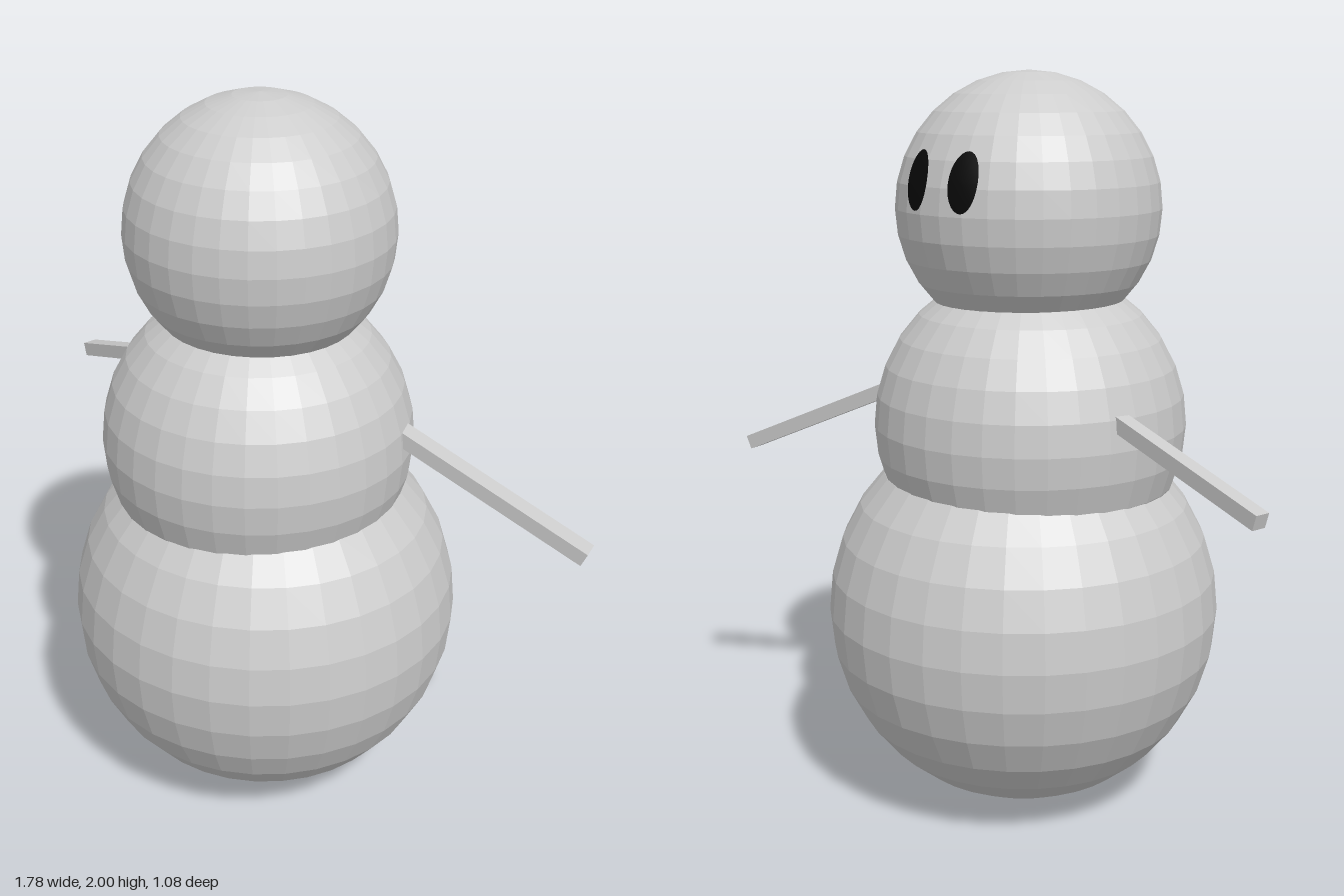
import * as THREE from 'three';

export function createModel() {
  const model = new THREE.Group();
  model.name = 'snowman';

  const snow = new THREE.MeshStandardMaterial({ color: 0xcccccc, flatShading: true });
  snow.name = 'pale grey';
  const black = new THREE.MeshStandardMaterial({ color: 0x080808 });
  black.name = 'black';

  const add = (name, geometry, material) => {
    const mesh = new THREE.Mesh(geometry, material);
    mesh.name = name;
    model.add(mesh);
    return mesh;
  };

  // Three stacked snowballs: name, centre, radius, vertical radius
  const balls = [
    ['lowerBall', [-0.012, 0.548, 0.002], 0.54, 0.545],
    ['middleBall', [-0.026, 1.07, 0.014], 0.423, 0.423],
    ['head', [-0.021, 1.648, 0.012], 0.352, 0.352],
  ];
  for (const [name, centre, r, ry] of balls) {
    const ball = add(name, new THREE.SphereGeometry(1, 32, 16), snow);
    ball.scale.set(r, ry, r);
    ball.position.set(...centre);
  }

  // Stick arms: square bars running from inside the middle ball to the tip
  const arm = (name, from, to, width, height) => {
    const a = new THREE.Vector3(...from), b = new THREE.Vector3(...to);
    const bar = add(name, new THREE.BoxGeometry(width, height, a.distanceTo(b)), snow);
    bar.position.copy(a).add(b).multiplyScalar(0.5);
    bar.lookAt(b);
  };
  arm('leftArm', [0.34, 1.145, -0.1], [0.875, 0.913, -0.197], 0.054, 0.04);
  arm('rightArm', [-0.37, 1.155, -0.095], [-0.883, 1.0, -0.211], 0.042, 0.04);

  // Oval eyes: thin patches that follow the curve of the head, on the -z side
  const [hx, hy, hz] = balls[2][1];
  const eye = (name, cx, cy) => {
    const geometry = new THREE.RingGeometry(0.001, 1, 28, 4);
    const p = geometry.attributes.position;
    const R = 0.356;
    for (let i = 0; i < p.count; i++) {
      const x = cx - p.getX(i) * 0.041;
      const y = cy + p.getY(i) * 0.075;
      p.setXYZ(i, x, y, -Math.sqrt(R * R - x * x - y * y));
    }
    geometry.computeVertexNormals();
    add(name, geometry, black).position.set(hx, hy, hz);
  };
  eye('leftEye', 0.087, 0.084);
  eye('rightEye', -0.067, 0.084);

  return model;
}
